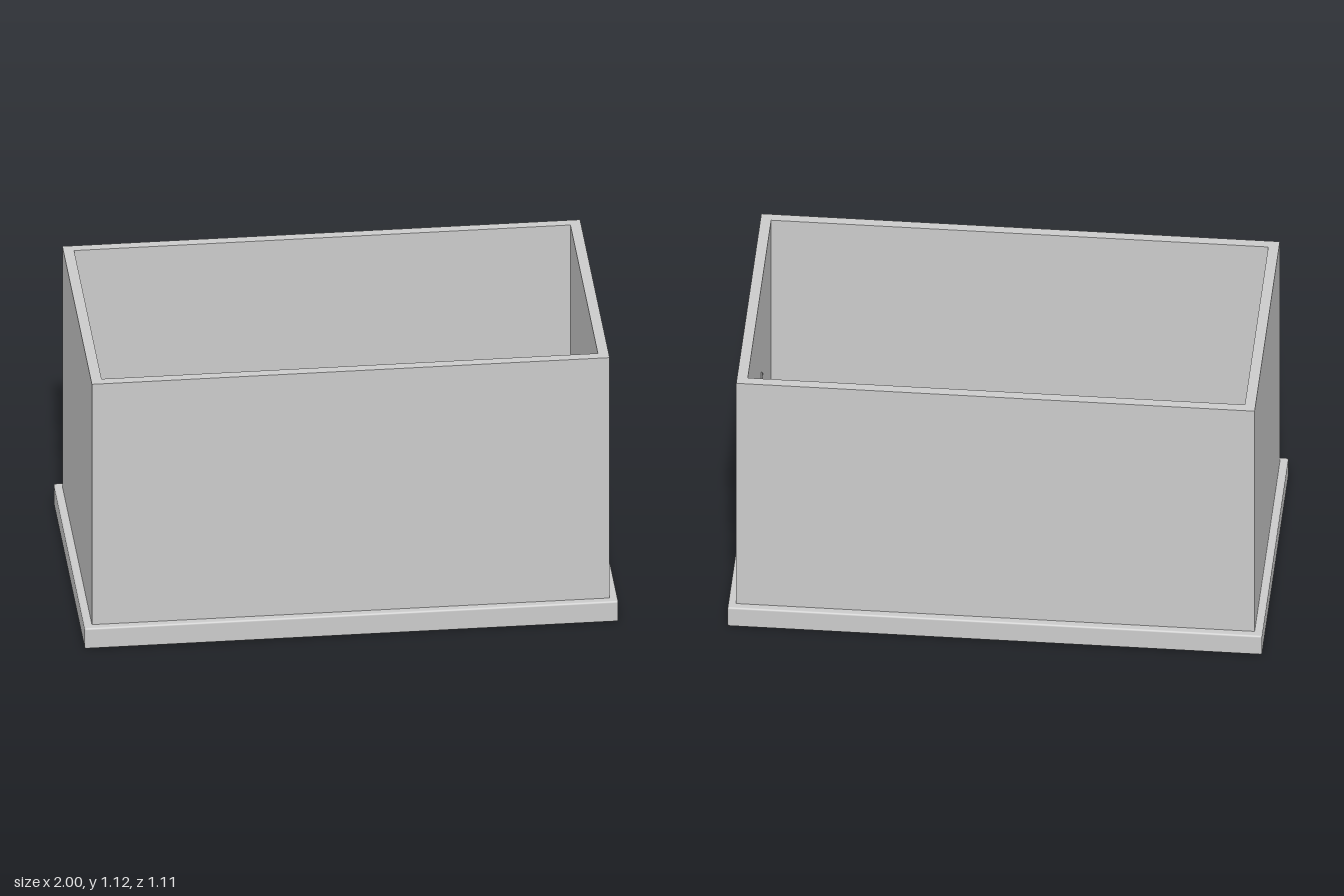
import * as THREE from 'three';
import { RoundedBoxGeometry } from 'three/addons/geometries/RoundedBoxGeometry.js';

const material = new THREE.MeshStandardMaterial({ color: 0xcccccc });
const OUT_X = 0.97, OUT_Z = 0.527, IN_X = 0.93, IN_Z = 0.49;
const FLOOR = 0.087, TOP = 1.115;

// Outline of the side opening as [z, y]
const OPENING = [
  [0.067, 0.745], [0.043, 0.715], [-0.013, 0.721], [-0.016, 0.667], [-0.064, 0.646],
  [-0.148, 0.724], [-0.133, 0.59], [-0.145, 0.518], [-0.154, 0.485], [-0.234, 0.416],
  [-0.16, 0.404], [-0.178, 0.33], [-0.052, 0.369], [-0.049, 0.4], [0.046, 0.406],
  [0.084, 0.375], [0.181, 0.397], [0.219, 0.424], [0.107, 0.515], [0.124, 0.573],
  [0.155, 0.569], [0.094, 0.618], [0.161, 0.67], [0.109, 0.66], [0.103, 0.697], [0.073, 0.718],
];

const points = (list) => list.map(([x, y]) => new THREE.Vector2(x, y));

function addMesh(group, name, geometry) {
  const mesh = new THREE.Mesh(geometry, material);
  mesh.name = name;
  group.add(mesh);
  return mesh;
}

export function createModel() {
  const group = new THREE.Group();
  group.name = 'openBox';

  // Plinth with slightly softened edges; its top is the box floor
  const base = addMesh(group, 'base', new RoundedBoxGeometry(2, FLOOR, 1.112, 3, 0.007));
  base.position.y = FLOOR / 2;

  // Front, back and plain end wall as one U-shaped extrusion
  const plan = new THREE.Shape(points([
    [IN_X, -OUT_Z], [IN_X, -IN_Z], [-IN_X, -IN_Z], [-IN_X, IN_Z],
    [IN_X, IN_Z], [IN_X, OUT_Z], [-OUT_X, OUT_Z], [-OUT_X, -OUT_Z],
  ]));
  const walls = new THREE.ExtrudeGeometry(plan, { depth: TOP - FLOOR, bevelEnabled: false });
  walls.rotateX(-Math.PI / 2);
  addMesh(group, 'plainWalls', walls).position.y = FLOOR;

  // End wall with the cut-out
  const panel = new THREE.Shape(points([
    [-OUT_Z, FLOOR], [OUT_Z, FLOOR], [OUT_Z, TOP], [-OUT_Z, TOP],
  ]));
  panel.holes.push(new THREE.Path(points(OPENING.map(([z, y]) => [-z, y]))));
  const endWall = new THREE.ExtrudeGeometry(panel, { depth: OUT_X - IN_X, bevelEnabled: false });
  endWall.rotateY(Math.PI / 2);
  addMesh(group, 'cutOutWall', endWall).position.x = IN_X;

  return group;
}
